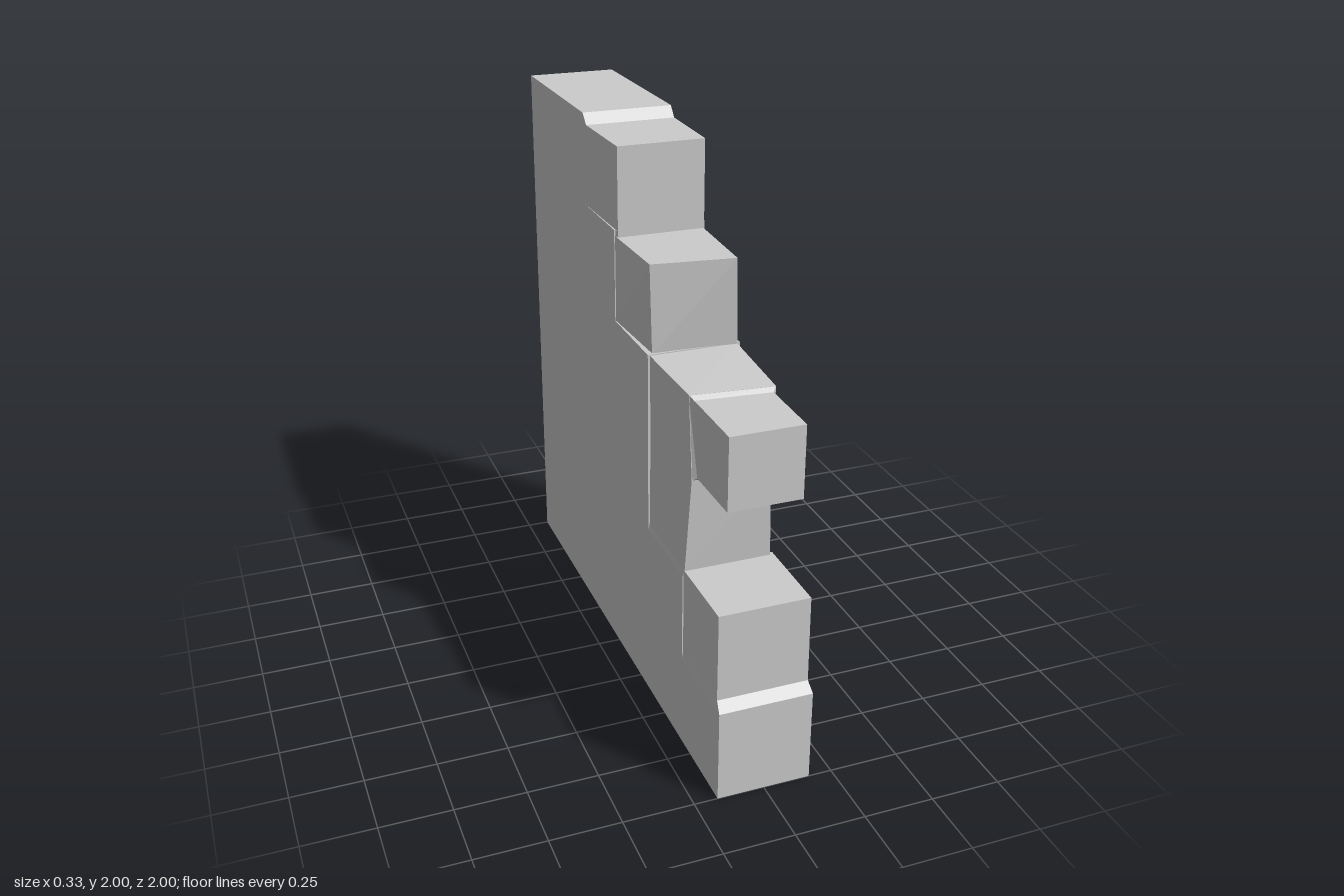
import * as THREE from 'three';

const material = new THREE.MeshStandardMaterial({ color: 0xcccccc, flatShading: true });
const W = 0.167; // half thickness of the wall

// Four-cornered cross-sections joined into a closed block
function loft(name, rings) {
  const pos = [];
  const quad = (a, b, c, d) => [a, b, c, a, c, d].forEach((p) => pos.push(...p));
  for (let r = 0; r + 1 < rings.length; r++) {
    for (let i = 0; i < 4; i++) {
      const j = (i + 1) % 4;
      quad(rings[r][i], rings[r][j], rings[r + 1][j], rings[r + 1][i]);
    }
  }
  const [a, b, c, d] = rings[0];
  quad(d, c, b, a);
  quad(...rings[rings.length - 1]);
  const geometry = new THREE.BufferGeometry();
  geometry.setAttribute('position', new THREE.Float32BufferAttribute(pos, 3));
  geometry.computeVertexNormals();
  const mesh = new THREE.Mesh(geometry, material);
  mesh.name = name;
  return mesh;
}

// Horizontal section: back edge [left x, right x, z], front edge [left x, right x, left z, right z]
const level = (y, [bl, br, bz], [fl, fr, zl, zr]) =>
  [[fl, y, zl], [fr, y, zr], [br, y, bz], [bl, y, bz]];

// Vertical section across the wall
const slice = (z, xl, xr, yb, yt) =>
  [[xl, yb, z], [xr, yb, z], [xr, yt, z], [xl, yt, z]];

export function createModel() {
  const group = new THREE.Group();
  group.name = 'brokenWall';

  // Stepped wall slab, drawn as (z, y) and extruded across x
  const outline = [
    [-1, 0], [1, 0], [1, 0.337], [0.667, 0.337], [0.667, 0.667], [0.335, 0.667],
    [0.335, 1.333], [0, 1.333], [0, 1.667], [-0.333, 1.667], [-0.333, 2], [-1, 2],
  ];
  const shape = new THREE.Shape(outline.map(([z, y]) => new THREE.Vector2(-z, y)));
  const slab = new THREE.ExtrudeGeometry(shape, { depth: 2 * W, bevelEnabled: false });
  slab.translate(0, 0, -W).rotateY(Math.PI / 2);
  const wall = new THREE.Mesh(slab, material);
  wall.name = 'wallSlab';
  group.add(wall);

  // Lowest step with a sloped shoulder
  group.add(loft('footBlock', [
    level(0.337, [-W, W, 0.667], [-W, W, 1, 1]),
    level(0.372, [-0.163, 0.163, 0.66], [-0.163, 0.161, 0.97, 0.97]),
    level(0.69, [-0.163, 0.161, 0.66], [-0.163, 0.159, 0.97, 0.97]),
  ]));

  // Tall crooked block in the middle
  group.add(loft('middleBlock', [
    level(0.667, [-W, W, 0.33], [-W, W, 0.667, 0.667]),
    level(0.69, [-0.162, 0.157, 0.33], [-0.163, 0.147, 0.675, 0.675]),
    level(1.03, [-0.158, 0.157, 0.33], [-0.147, 0.13, 0.69, 0.696]),
    [[-0.143, 1.315, 0.65], [0.147, 1.313, 0.675], [0.157, 1.33, 0.33], [-0.16, 1.33, 0.33]],
  ]));

  // Small block jutting out of it, with a narrow bevelled collar
  group.add(loft('juttingBlock', [
    [[-0.147, 1.03, 0.688], [0.13, 1.03, 0.694], [0.147, 1.313, 0.674], [-0.143, 1.315, 0.649]],
    [[-0.132, 1.042, 0.70], [0.126, 1.042, 0.706], [0.132, 1.3, 0.69], [-0.132, 1.302, 0.668]],
    slice(0.945, -0.13, 0.128, 1.043, 1.3),
  ]));

  // Skewed block on the next step
  group.add(loft('upperBlock', [
    level(1.328, [-0.164, 0.16, -0.01], [-0.148, 0.157, 0.325, 0.337]),
    level(1.645, [-0.164, 0.157, -0.01], [-0.155, 0.14, 0.322, 0.36]),
  ]));

  // Top step with a sloped shoulder
  group.add(loft('topBlock', [
    slice(-0.333, -W, W, 1.667, 2),
    slice(-0.298, -0.166, 0.166, 1.667, 1.963),
    slice(0.02, -0.16, 0.158, 1.667, 1.963),
  ]));
  // Underside lip and front face between the two upper steps
  group.add(loft('stepFiller', [
    slice(-0.01, -0.164, 0.16, 1.334, 1.667),
    slice(0.02, -0.16, 0.158, 1.334, 1.667),
  ]));

  return group;
}
